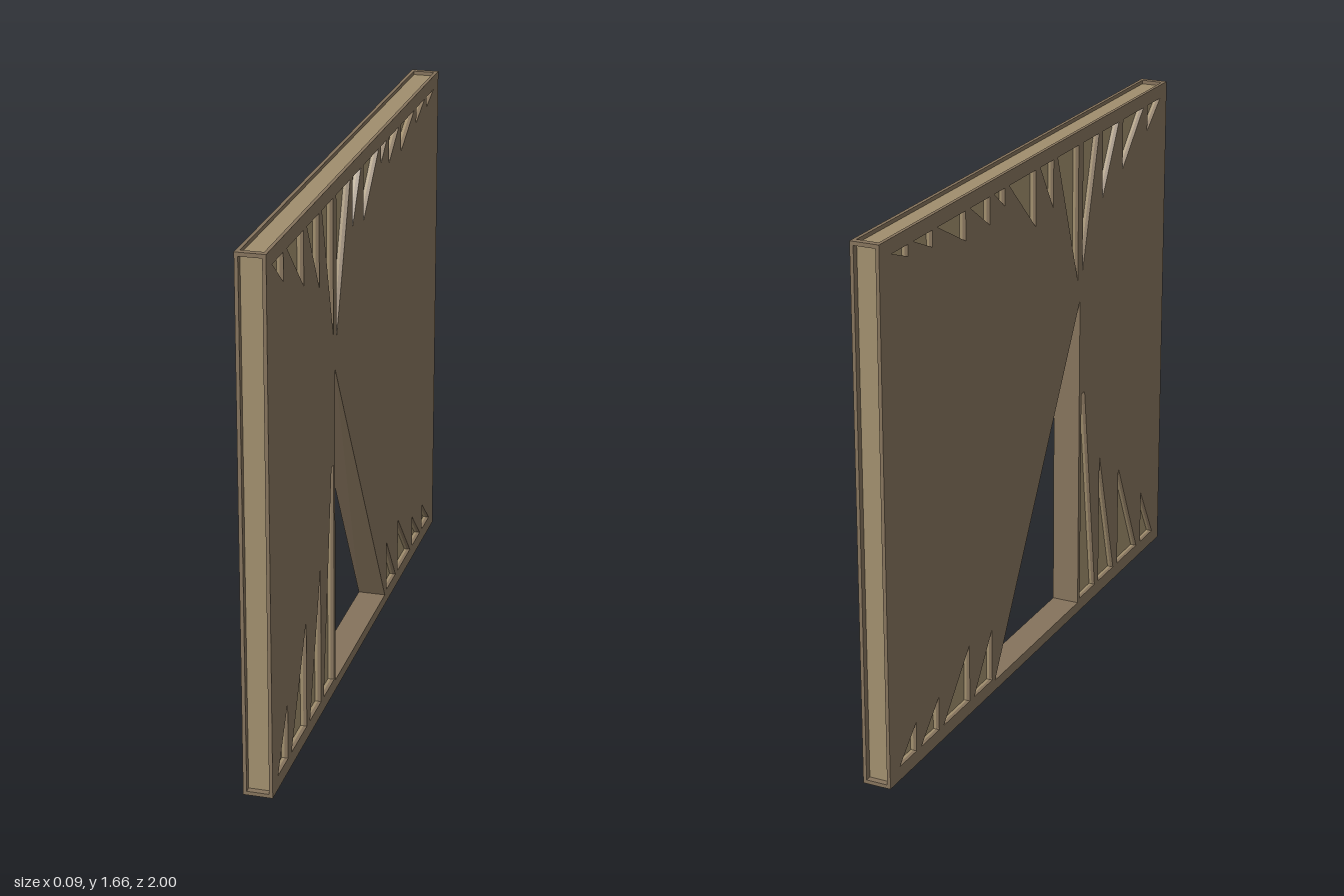
import * as THREE from 'three';

const HEIGHT = 1.66, HALF = 0.045, LIP = 0.011;
const GROOVE_Y = 0.012, GROOVE_Z = 0.02;
const POCKET = 0.02; // depth of the triangular recesses

const faceMat = new THREE.MeshStandardMaterial({ color: 0x85735c });
const recessMat = new THREE.MeshStandardMaterial({ color: 0xa08e6d });

// outlines are [z, y] points
const doorInner = [[0.313, 0.035], [0.313, 1.1], [-0.31, 0.035]];
const doorOuter = [[0.319, 0.029], [0.319, 1.122], [-0.32, 0.029]];

// recesses: z of the upright edge, z of the far corner, y of the tip
const upper = [
  [0.84, 0.945, 1.53], [0.64, 0.805, 1.45], [0.48, 0.605, 1.39], [0.33, 0.45, 1.19],
  [0.295, 0.14, 1.17], [0.11, 0.015, 1.46], [-0.015, -0.2, 1.435], [-0.23, -0.3, 1.56],
  [-0.33, -0.455, 1.53], [-0.485, -0.66, 1.525], [-0.69, -0.805, 1.565], [-0.835, -0.93, 1.58],
];
const lower = [
  [0.84, 0.945, 0.23], [0.64, 0.805, 0.4], [0.48, 0.605, 0.505],
  [-0.33, -0.455, 0.22], [-0.485, -0.66, 0.235], [-0.69, -0.805, 0.155], [-0.835, -0.94, 0.14],
];
const triangle = (base) => ([a, b, tip]) => [[a, base], [b, base], [a, tip]];
const pockets = [
  ...upper.map(triangle(1.615)),
  ...lower.map(triangle(0.045)),
  [[0.33, 0.045], [0.45, 0.045], [0.355, 0.775], [0.33, 0.775]],
];

const toPoints = (pts) => pts.map(([z, y]) => new THREE.Vector2(z, y));

// extrudes a [z, y] outline with holes between x0 and x1
function slab(outline, holes, x0, x1) {
  const shape = new THREE.Shape(toPoints(outline));
  shape.holes = holes.map((h) => new THREE.Path(toPoints(h)));
  const geo = new THREE.ExtrudeGeometry(shape, { depth: x1 - x0, bevelEnabled: false });
  return geo.rotateY(-Math.PI / 2).translate(x1, 0, 0);
}

const rect = (dz, dy) => [
  [-1 + dz, dy], [1 - dz, dy], [1 - dz, HEIGHT - dy], [-1 + dz, HEIGHT - dy],
];

export function createModel() {
  const group = new THREE.Group();
  const add = (name, geo, mat) => {
    const mesh = new THREE.Mesh(geo, mat);
    mesh.name = name;
    group.add(mesh);
    return mesh;
  };

  // core: floors of the recesses and of the edge grooves
  const inner = HALF - POCKET;
  const small = rect(GROOVE_Z, GROOVE_Y);
  add('core', slab(small, [doorOuter], -inner, inner), recessMat);

  // each side: backing layer and full-size face panel whose border forms the groove lip
  const holes = [doorOuter, ...pockets];
  for (const [side, s] of [['left', 1], ['right', -1]]) {
    const layer = (outline, a, b) =>
      slab(outline, holes, Math.min(s * a, s * b), Math.max(s * a, s * b));
    add(side + 'Backing', layer(small, inner, HALF - LIP), recessMat);
    add(side + 'Panel', layer(rect(0, 0), HALF - LIP, HALF), faceMat);
  }

  // triangular doorway lining, its peak a little lower on the left side
  const lining = slab(doorOuter, [doorInner], -HALF, HALF);
  const pos = lining.attributes.position;
  for (let i = 0; i < pos.count; i++) {
    if (pos.getX(i) > 0 && Math.abs(pos.getY(i) - 1.1) < 0.001) pos.setY(i, 1.08);
  }
  lining.computeVertexNormals();
  add('doorwayLining', lining, faceMat);

  // corner bars that close the ends of the grooves
  const bar = new THREE.BoxGeometry(2 * (HALF - LIP), GROOVE_Y, GROOVE_Z);
  for (const y of [GROOVE_Y / 2, HEIGHT - GROOVE_Y / 2]) {
    for (const z of [-1 + GROOVE_Z / 2, 1 - GROOVE_Z / 2]) {
      add('cornerBar', bar, faceMat).position.set(0, y, z);
    }
  }
  return group;
}
